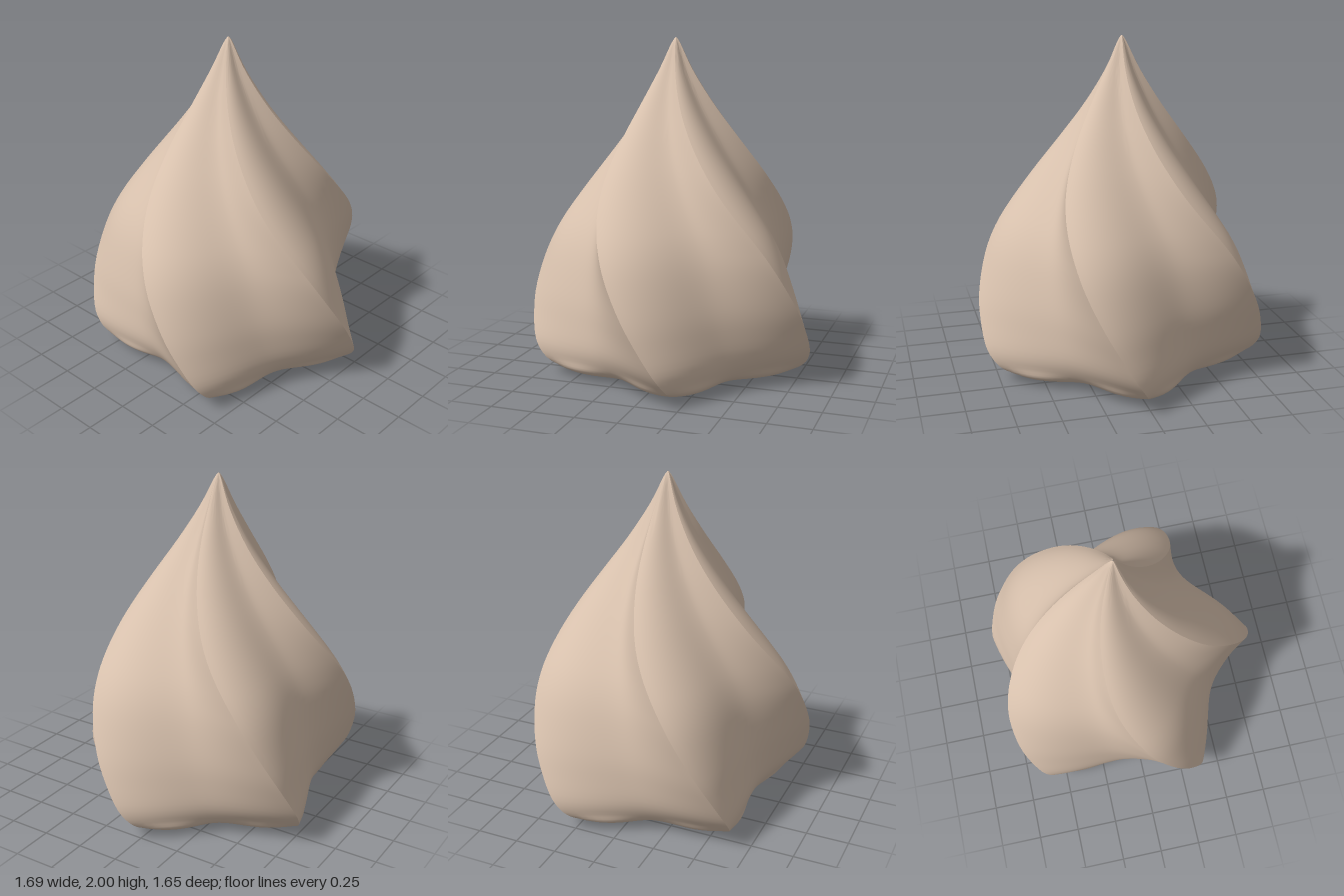
import * as THREE from 'three';
import { toCreasedNormals } from 'three/addons/utils/BufferGeometryUtils.js';

const { lerp, smoothstep, clamp, degToRad } = THREE.MathUtils;
const LOBES = 5;
const BODY = 14;   // samples over the broad side of a lobe
const FLANK = 10;  // samples over the steep side of a lobe
const VALLEY = 0.74;

// ridge radius against height
const PROFILE = [
  [0.002, 0], [0.45, 0], [0.63, 0.02], [0.74, 0.05], [0.81, 0.1], [0.865, 0.2], [0.875, 0.35],
  [0.865, 0.5], [0.82, 0.7], [0.76, 0.85], [0.67, 1], [0.53, 1.2], [0.38, 1.4],
  [0.235, 1.6], [0.11, 1.8], [0.03, 1.96], [0.002, 2],
].map(([r, y]) => new THREE.Vector2(r, y));

// smooth wave from 1 at t = 0 to 0 at t = 1
const wave = (t) => 0.5 + 0.5 * Math.cos(Math.PI * t);

// lobed ring: rounded underneath, pointed ridges above, lobes leaning and filling out higher up
function lobeSamples(y) {
  const rise = smoothstep(y, 0.1, 1.2);
  const ridge = smoothstep(y, 0.02, 0.12);
  const groove = lerp(0.5, 0.68, rise);
  const samples = [];
  for (let i = 0; i < BODY; i++) {
    const t = i / BODY;
    const bulge = lerp((1 - t) ** 1.8, wave(t), rise);
    samples.push([t * groove, lerp(VALLEY, 1, lerp(0.9 * wave(t), bulge, ridge))]);
  }
  for (let i = 0; i < FLANK; i++) {
    const t = i / FLANK;
    samples.push([lerp(groove, 1, t), lerp(VALLEY, 1, lerp(0.9 * wave(1 - t), t * t, ridge))]);
  }
  return samples;
}

function swirlGeometry() {
  const rings = new THREE.SplineCurve(PROFILE).getPoints(64);
  const count = LOBES * (BODY + FLANK);
  const positions = [], index = [];
  rings.forEach((p, row) => {
    const y = clamp(p.y, 0, 2);
    const radius = Math.max(p.x, 0.002);
    const twist = degToRad(76 + (y - 0.1) * 40 + 2 * smoothstep(y, 0.8, 1.2));
    const samples = lobeSamples(y);
    for (let lobe = 0; lobe < LOBES; lobe++) {
      for (const [u, scale] of samples) {
        const a = twist - (lobe + u) * Math.PI * 2 / LOBES;
        const r = radius * scale;
        positions.push(-0.015 - 0.006 * y + r * Math.cos(a), y, -0.03 - 0.006 * y + r * Math.sin(a));
      }
    }
    if (row === 0) return;
    for (let i = 0; i < count; i++) {
      const j = (i + 1) % count;
      const a = (row - 1) * count + i, b = (row - 1) * count + j;
      const c = row * count + j, d = row * count + i;
      index.push(a, b, c, a, c, d);
    }
  });
  const geometry = new THREE.BufferGeometry();
  geometry.setAttribute('position', new THREE.Float32BufferAttribute(positions, 3));
  geometry.setIndex(index);
  return toCreasedNormals(geometry, 0.7);
}

export function createModel() {
  const group = new THREE.Group();
  group.name = 'twistedSwirl';
  const cream = new THREE.MeshStandardMaterial({ color: 0xd9c2ae });
  cream.name = 'warm cream';
  const swirl = new THREE.Mesh(swirlGeometry(), cream);
  swirl.name = 'swirlBody';
  group.add(swirl);
  return group;
}
